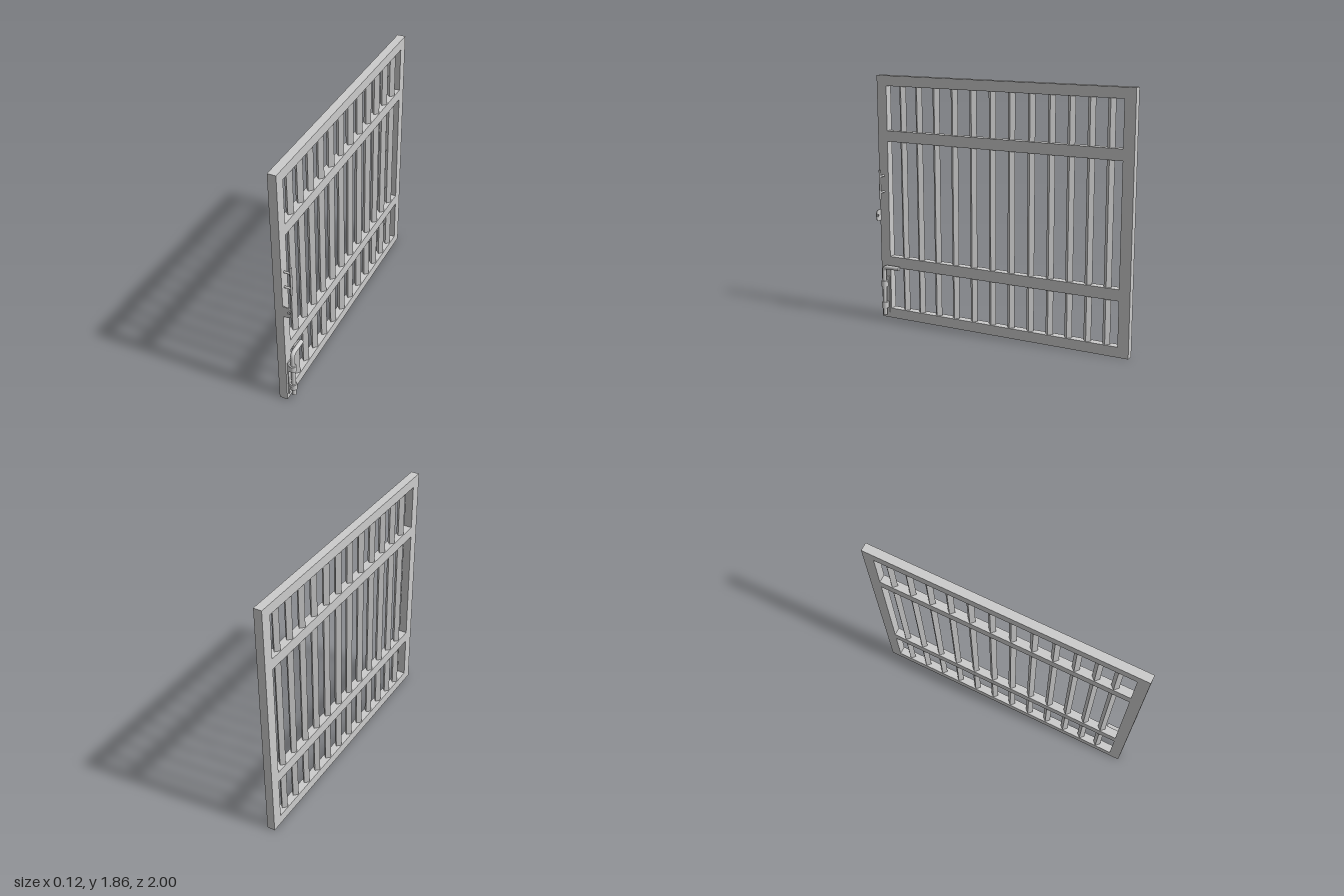
import * as THREE from 'three';

export function createModel() {
  const gate = new THREE.Group();
  gate.name = 'barredGate';
  const mat = new THREE.MeshStandardMaterial({ color: 0xcccccc });
  const H = 1.855, D = 0.06, CX = -0.03;

  const add = (name, geo, x, y, z, parent = gate) => {
    const m = new THREE.Mesh(geo, mat);
    m.name = name;
    m.position.set(x, y, z);
    parent.add(m);
    return m;
  };
  const box = (name, w, h, d, x, y, z, parent) => add(name, new THREE.BoxGeometry(w, h, d), x, y, z, parent);
  const rod = (name, r, h, x, y, z, parent) => add(name, new THREE.CylinderGeometry(r, r, h, 20), x, y, z, parent);
  const group = (name) => {
    const g = new THREE.Group();
    g.name = name;
    gate.add(g);
    return g;
  };

  // Frame: two stiles and four rails
  for (const s of [1, -1]) box(s > 0 ? 'frontStile' : 'backStile', D, H, 0.08, CX, H / 2, s * 0.96);
  const rails = [[0, 0.075], [0.405, 0.487], [1.37, 1.45], [1.78, H]];
  for (const [a, b] of rails) box('rail', D, b - a, 1.84, CX, (a + b) / 2, 0);

  // Square bars turned on edge, running between the rails
  const bars = group('bars');
  const barZ = [0.796, 0.66, 0.515, 0.365, 0.213, 0.06, -0.09, -0.243, -0.394, -0.54, -0.685, -0.826];
  for (const z of barZ) {
    for (let i = 0; i < 3; i++) {
      const a = rails[i][1], b = rails[i + 1][0];
      box('bar', 0.04, b - a, 0.04, CX, (a + b) / 2, z, bars).rotation.y = Math.PI / 4;
    }
  }

  // Pull handle on two pegs
  const handle = group('pullHandle');
  rod('grip', 0.008, 0.225, 0.049, 1.048, 0.962, handle);
  for (const y of [0.988, 1.11]) rod('peg', 0.008, 0.046, 0.023, y, 0.962, handle).rotation.z = Math.PI / 2;

  // Padlock tab with a hole and rounded outer corners
  const tab = new THREE.Shape();
  const r = 0.025, w = 0.057, h = 0.085;
  tab.moveTo(0, 0);
  tab.lineTo(w - r, 0);
  tab.absarc(w - r, r, r, -Math.PI / 2, 0, false);
  tab.absarc(w - r, h - r, r, 0, Math.PI / 2, false);
  tab.lineTo(0, h);
  const hole = new THREE.Path();
  hole.absarc(0.041, h / 2, 0.01, 0, Math.PI * 2, true);
  tab.holes.push(hole);
  add('lockTab', new THREE.ExtrudeGeometry(tab, { depth: 0.007, bevelEnabled: false, curveSegments: 10 }), 0, 0.765, 0.993);

  // Drop bolt: bent rod, guide collars and backing plate
  const bolt = group('dropBolt');
  const bx = 0.031, bz = 0.958, br = 0.016, top = 0.409, bend = 0.035;
  const path = new THREE.CurvePath();
  const v = (y, z) => new THREE.Vector3(bx, y, z);
  path.add(new THREE.LineCurve3(v(0.03, bz), v(top - bend, bz)));
  path.add(new THREE.QuadraticBezierCurve3(v(top - bend, bz), v(top, bz), v(top, bz - bend)));
  path.add(new THREE.LineCurve3(v(top, bz - bend), v(top, 0.825)));
  add('boltRod', new THREE.TubeGeometry(path, 60, br, 16, false), 0, 0, 0, bolt);
  add('rodLowerEnd', new THREE.CircleGeometry(br, 16), bx, 0.03, bz, bolt).rotation.x = Math.PI / 2;
  add('rodHandleEnd', new THREE.CircleGeometry(br, 16), bx, top, 0.825, bolt).rotation.y = Math.PI;
  for (const y of [0.107, 0.277]) {
    rod('guideCollar', 0.024, 0.047, bx, y, bz, bolt);
    box('collarFoot', 0.016, 0.047, 0.04, 0.009, y, bz, bolt);
  }
  box('backingPlate', 0.007, 0.29, 0.05, 0.0035, 0.185, 0.955, bolt);
  return gate;
}
